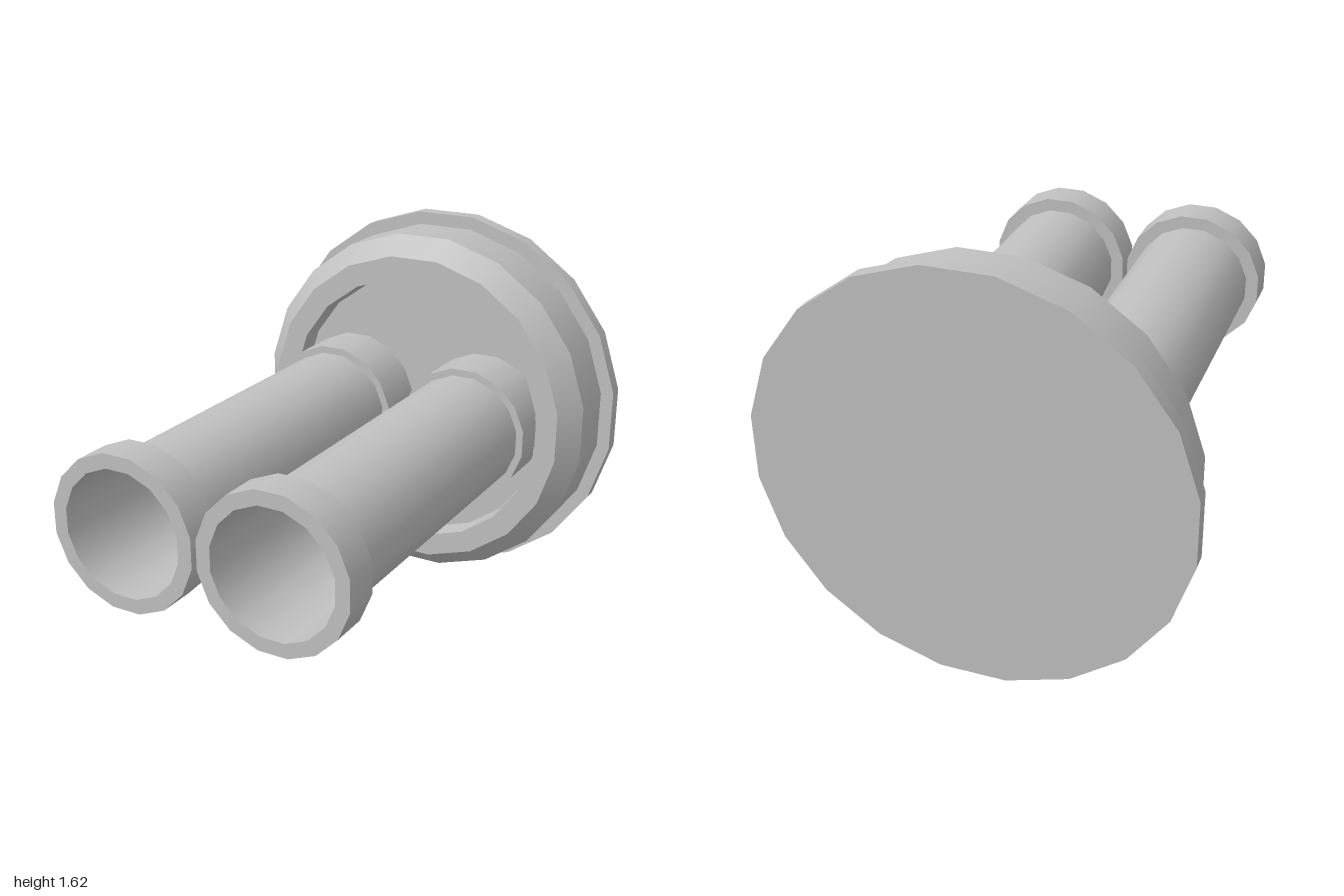
import * as THREE from 'three';
import { mergeGeometries } from 'three/addons/utils/BufferGeometryUtils.js';

// Turned part along z: smooth around, crisp at each profile corner. Profile is [radius, z].
function turned(profile, sides) {
  const bands = [];
  for (let i = 0; i < profile.length - 1; i++) {
    const pair = [profile[i], profile[i + 1]].map(([r, z]) => new THREE.Vector2(r, z));
    bands.push(new THREE.LatheGeometry(pair, sides, Math.PI / sides));
  }
  return mergeGeometries(bands).rotateX(Math.PI / 2);
}

export function createModel() {
  const model = new THREE.Group();
  const grey = new THREE.MeshStandardMaterial({ color: 0xc0c0c0 });
  grey.name = 'plain grey';
  const centreY = 0.81;
  const floorZ = -0.72;

  // Round base: flat back, thin flange, chamfered drum and recessed face
  const base = new THREE.Mesh(turned([
    [0, -1], [0.82, -1], [0.82, -0.935], [0.765, -0.935], [0.765, -0.72],
    [0.685, -0.63], [0.588, -0.63], [0.58, floorZ], [0, floorZ],
  ], 20), grey);
  base.name = 'base';
  base.position.y = centreY;
  model.add(base);

  // Open pipe with a rear collar and a front lip
  const pipeGeometry = turned([
    [0.28, floorZ], [0.28, -0.49], [0.25, -0.49], [0.25, 0.85],
    [0.305, 0.85], [0.305, 1], [0.248, 1], [0.248, floorZ],
  ], 16);
  for (const [name, side] of [['leftPipe', 1], ['rightPipe', -1]]) {
    const pipe = new THREE.Mesh(pipeGeometry, grey);
    pipe.name = name;
    pipe.position.set(side * 0.31, centreY + 0.004, 0);
    model.add(pipe);
  }
  return model;
}
